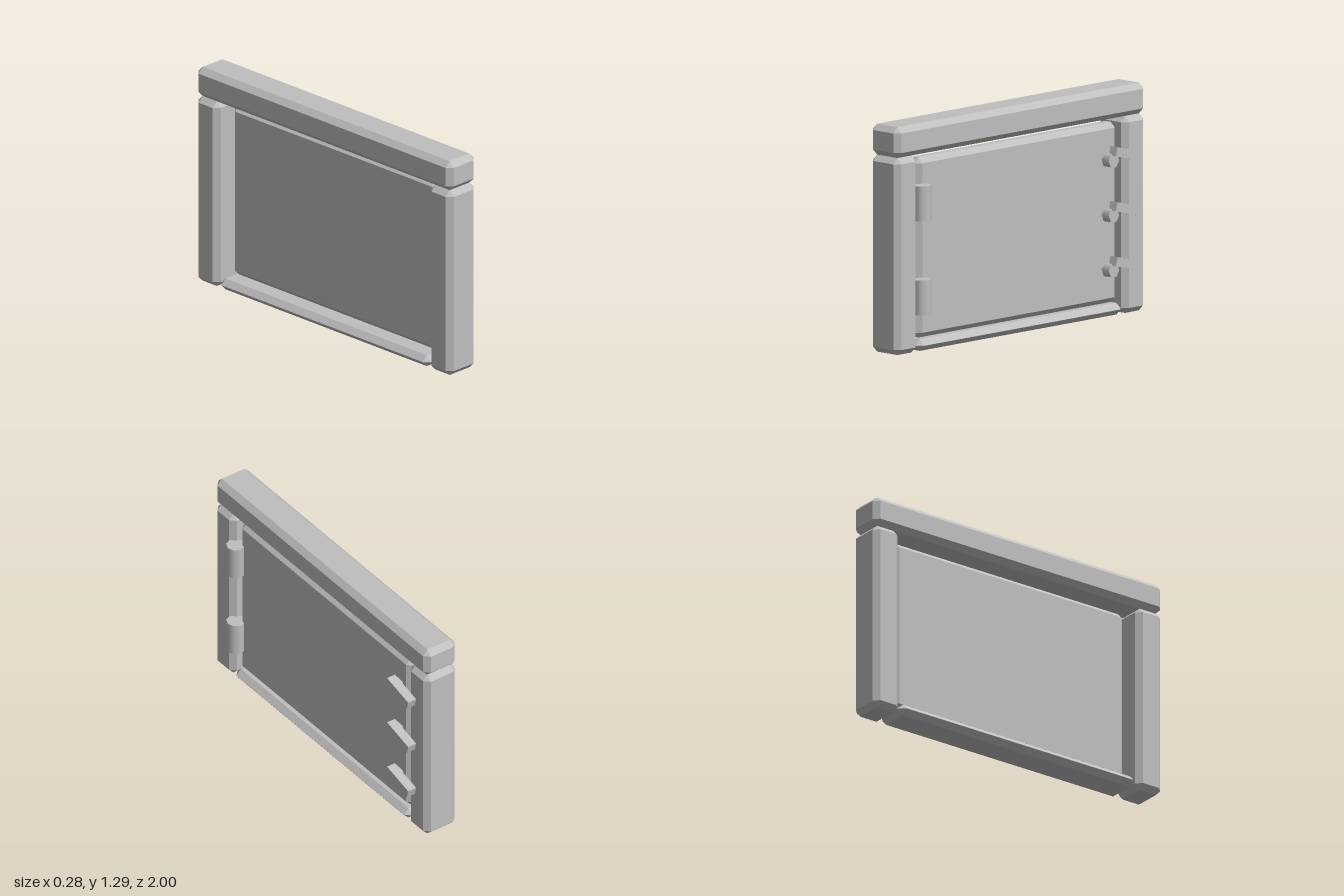
import * as THREE from 'three';
import { ConvexGeometry } from 'three/addons/geometries/ConvexGeometry.js';

// Box between two corners, with every edge cut at 45 degrees by c
function chamferedBox(min, max, c) {
  const size = max.map((v, i) => (v - min[i]) / 2);
  const mid = max.map((v, i) => (v + min[i]) / 2);
  const points = [];
  for (const sx of [-1, 1]) for (const sy of [-1, 1]) for (const sz of [-1, 1]) {
    for (let axis = 0; axis < 3; axis++) {
      const p = [sx, sy, sz].map((s, i) => mid[i] + s * (size[i] - (i === axis ? 0 : c)));
      points.push(new THREE.Vector3(...p));
    }
  }
  return new ConvexGeometry(points);
}

export function createModel() {
  const model = new THREE.Group();
  model.name = 'framedHatch';
  const grey = new THREE.MeshStandardMaterial({ color: 0xbfbfbf });
  grey.name = 'grey';
  const flatGrey = grey;

  function add(name, geometry, parent = model) {
    const mesh = new THREE.Mesh(geometry, flatGrey);
    mesh.name = name;
    parent.add(mesh);
    return mesh;
  }

  // Frame: lintel, two posts and a thin sill
  const back = -0.14, front = 0.08, cut = 0.032;
  add('lintel', chamferedBox([back, 1.115, -1], [front, 1.29, 1], cut));
  add('hingePost', chamferedBox([back, 0, 0.825], [front, 1.115, 1], cut));
  add('latchPost', chamferedBox([back, 0, -1], [front, 1.115, -0.825], cut));
  add('sill', chamferedBox([back, 0, -0.82], [front, 0.066, 0.82], cut));

  // Door panel set between the posts
  add('doorPanel', chamferedBox([-0.05, 0.07, -0.8], [0.05, 1.09, 0.8], 0.03));

  // Barrel hinges
  for (const y of [0.313, 0.845]) {
    const hinge = add('hinge', new THREE.CylinderGeometry(0.054, 0.054, 0.198, 8));
    hinge.position.set(0.076, y, 0.8);
  }

  // Latches: a tilted bar with a hexagonal peg below its inner end
  for (const y of [0.296, 0.607, 0.918]) {
    const latch = new THREE.Group();
    latch.name = 'latch';
    latch.position.set(0, y, -0.8);
    model.add(latch);

    const bar = add('latchBar', new THREE.BoxGeometry(0.055, 0.052, 0.205), latch);
    bar.position.x = 0.1085;
    bar.rotation.x = -0.25;

    const pegShape = new THREE.CylinderGeometry(0.043, 0.043, 0.055, 6);
    pegShape.rotateZ(-Math.PI / 2);
    pegShape.rotateX(-0.12);
    const peg = add('latchPeg', pegShape, latch);
    peg.position.set(0.0775, -0.03, 0.09);
  }
  return model;
}
